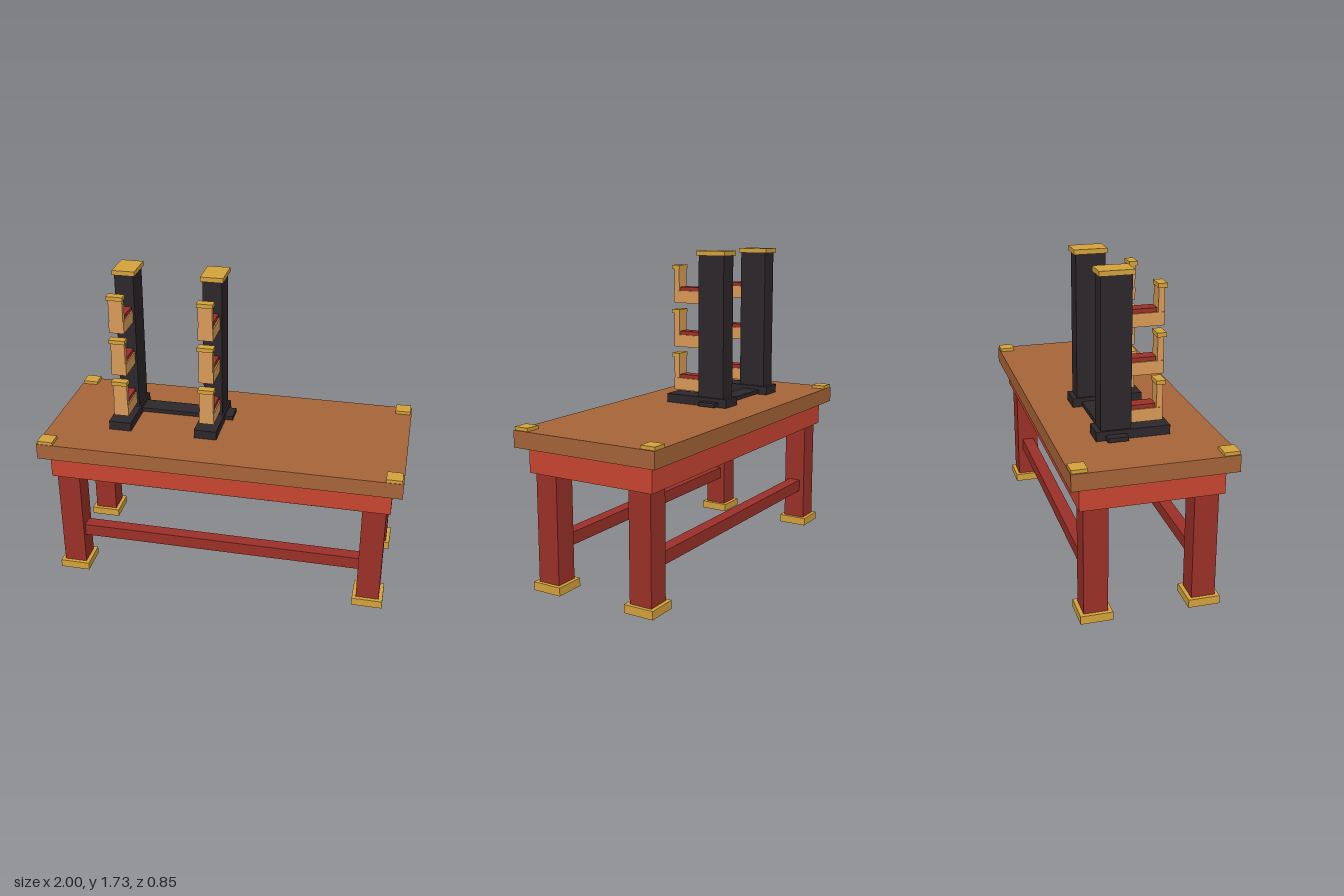
import * as THREE from 'three';

const mat = (color) => new THREE.MeshStandardMaterial({ color, flatShading: true });
const wood = mat(0xa66438);
const red = mat(0xc84530);
const darkRed = mat(0x9b3028);
const gold = mat(0xd4a23c);
const black = mat(0x2d272a);
const tan = mat(0xd99b58);

// Box given by its min/max extents on each axis
function box(parent, name, material, [x0, x1], [y0, y1], [z0, z1]) {
  const mesh = new THREE.Mesh(new THREE.BoxGeometry(x1 - x0, y1 - y0, z1 - z0), material);
  mesh.position.set((x0 + x1) / 2, (y0 + y1) / 2, (z0 + z1) / 2);
  mesh.name = name;
  parent.add(mesh);
  return mesh;
}
const around = (c, size) => [c - size / 2, c + size / 2];

function createTable() {
  const table = new THREE.Group();
  table.name = 'table';
  box(table, 'tableTop', wood, [-1, 1], [0.77, 0.86], [-0.427, 0.427]);
  box(table, 'apron', red, [-0.945, 0.945], [0.633, 0.77], [-0.375, 0.375]);
  for (const sz of [-1, 1]) {
    for (const sx of [-1, 1]) {
      const x = sx * 0.859, z = sz * 0.287;
      box(table, 'leg', darkRed, around(x, 0.128), [0.045, 0.633], around(z, 0.128));
      box(table, 'foot', gold, around(x, 0.17), [0, 0.045], around(z, 0.17));
      box(table, 'cornerPlate', gold, around(sx * 0.95, 0.085), [0.86, 0.878], around(sz * 0.383, 0.083));
    }
    box(table, 'stretcher', darkRed, [-0.795, 0.795], [0.215, 0.285], around(sz * 0.287, 0.07));
  }
  return table;
}

// One cradle: arm, upright lip with cap, and a padded rest
function createHook(y) {
  const hook = new THREE.Group();
  hook.name = 'hook';
  box(hook, 'hookArm', tan, around(0, 0.084), [0, 0.068], [-0.03, 0.142]);
  box(hook, 'hookLip', tan, around(0, 0.078), [0.068, 0.192], [0.11, 0.142]);
  box(hook, 'hookCap', gold, around(0, 0.09), [0.19, 0.212], [0.106, 0.154]);
  box(hook, 'hookPad', darkRed, around(0, 0.07), [0.068, 0.09], [-0.03, 0.104]);
  hook.position.y = y;
  return hook;
}

function createPost(x) {
  const post = new THREE.Group();
  post.name = 'rackPost';
  box(post, 'postBase', black, around(0, 0.126), [0.86, 0.91], [-0.213, 0.178]);
  box(post, 'postColumn', black, around(0, 0.106), [0.91, 1.706], [-0.187, -0.027]);
  box(post, 'postCap', gold, around(0, 0.126), [1.704, 1.73], [-0.198, -0.018]);
  for (let i = 0; i < 3; i++) post.add(createHook(0.935 + i * 0.25));
  post.position.x = x;
  return post;
}

export function createModel() {
  const model = new THREE.Group();
  model.name = 'tableWithRack';
  model.add(createTable());

  const rack = new THREE.Group();
  rack.name = 'rack';
  rack.add(createPost(-0.595), createPost(-0.105));
  box(rack, 'crossbar', black, [-0.703, 0.002], [0.866, 0.889], [-0.162, -0.055]);
  model.add(rack);
  return model;
}
